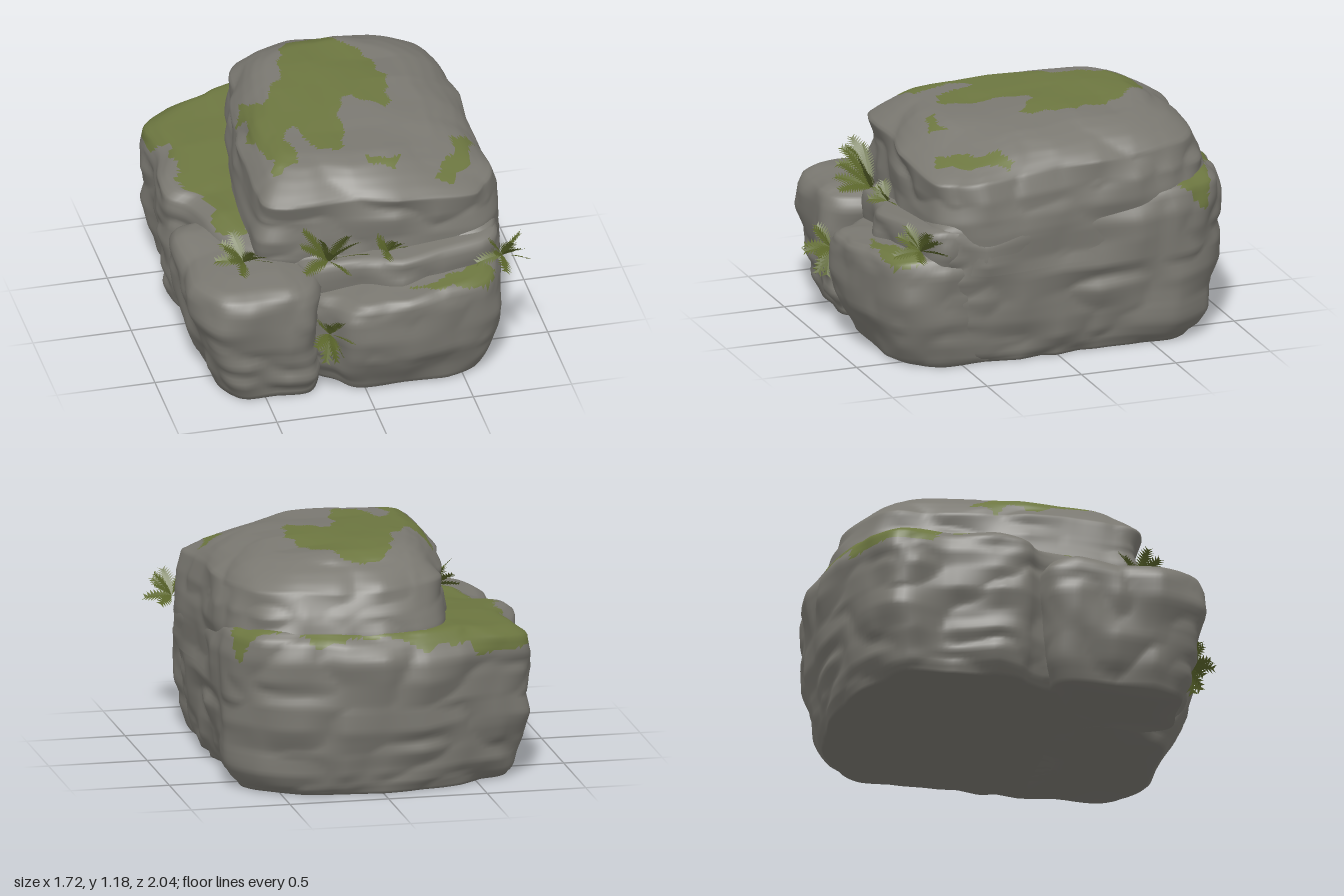
import * as THREE from 'three';

const rock = new THREE.MeshStandardMaterial({ color: 0x7a7871 });
rock.name = 'grey stone';
const moss = new THREE.MeshStandardMaterial({ color: 0x6c7640 });
moss.name = 'moss green';
const leaf = new THREE.MeshStandardMaterial({ color: 0x5c672c, side: THREE.DoubleSide });
leaf.name = 'fern green';

// Seeded lattice noise in -1..1; linear blending leaves chiselled planes
function hash(x, y, z) {
  const s = Math.sin(x * 127.1 + y * 311.7 + z * 74.7) * 43758.5453;
  return (s - Math.floor(s)) * 2 - 1;
}
function noise(x, y, z) {
  const i = Math.floor(x), j = Math.floor(y), k = Math.floor(z);
  const mix = THREE.MathUtils.lerp;
  const row = (b, c) => mix(hash(i, b, c), hash(i + 1, b, c), x - i);
  const slab = (c) => mix(row(j, c), row(j + 1, c), y - j);
  return mix(slab(k), slab(k + 1), z - k);
}

function inside(poly, x, z) {
  let hit = false;
  for (let i = 0, j = poly.length - 1; i < poly.length; j = i++) {
    const [ax, az] = poly[i], [bx, bz] = poly[j];
    if ((az > z) !== (bz > z) && x < ((bx - ax) * (z - az)) / (bz - az) + ax) hit = !hit;
  }
  return hit;
}

// Resample [y, scale, dx, dz] levels evenly along the profile, with few rows on the flat underside
function resample(levels, rows) {
  const at = [0];
  for (let i = 1; i < levels.length; i++) {
    const a = levels[i - 1], b = levels[i];
    at.push(at[i - 1] + (b[0] === 0 ? 0.05 : Math.hypot(b[0] - a[0], (b[1] - a[1]) * 0.6)));
  }
  const out = [];
  for (let r = 0; r <= rows; r++) {
    const d = (at[at.length - 1] * r) / rows;
    let i = 1;
    while (i < at.length - 1 && at[i] < d) i++;
    const t = (d - at[i - 1]) / (at[i] - at[i - 1]);
    out.push([0, 1, 2, 3].map((k) => THREE.MathUtils.lerp(levels[i - 1][k] || 0, levels[i][k] || 0, t)));
  }
  return out;
}

// A stone: plan outline [x, z] lofted through levels, roughened, dented [x, z, radius, depth], mossy inside given patches
function stone({ name, outline, levels, rows, seg, tiltX = 0, tiltZ = 0, rough = 0.03, dents = [], patches = [], mossFrom = 0 }) {
  const curve = new THREE.CatmullRomCurve3(outline.map(([x, z]) => new THREE.Vector3(x, 0, z)), true);
  const ring = curve.getSpacedPoints(seg).slice(0, seg);
  if (THREE.ShapeUtils.area(ring.map((p) => new THREE.Vector2(p.x, p.z))) < 0) ring.reverse();
  const c = ring.reduce((s, p) => s.add(p), new THREE.Vector3()).divideScalar(seg);
  const top = levels[levels.length - 1][0];
  const pos = [];
  for (const [y, s, dx, dz] of resample(levels, rows)) {
    for (const p of ring) {
      let x = c.x + (p.x - c.x) * s + dx, z = c.z + (p.z - c.z) * s + dz;
      const out = new THREE.Vector3(p.x - c.x, 0, p.z - c.z).normalize();
      const n = 0.6 * noise(x * 3.5, y * 7, z * 3.5) + 1.5 * Math.abs(noise(x * 5 + 5, y * 9, z * 5)) - 0.5;
      const push = rough * n * Math.min(1, s * 1.5);
      let lift = y > 0.02 ? 0.6 * rough * noise(x * 5, y * 3 + 9, z * 5) : 0;
      const h = (y / top) ** 2;
      for (const [ax, az, radius, depth] of dents) lift -= h * depth * Math.exp(-((x - ax) ** 2 + (z - az) ** 2) / radius ** 2);
      x += out.x * push;
      z += out.z * push;
      pos.push(x, y + lift + h * (tiltX * x + tiltZ * z), z);
    }
  }
  const bare = [], green = [];
  const add = (...tri) => {
    const [x, y, z] = [0, 1, 2].map((k) => tri.reduce((s, v) => s + pos[v * 3 + k], 0) / 3);
    const wx = x + 0.035 * noise(x * 14, 3, z * 14), wz = z + 0.035 * noise(x * 14, 8, z * 14);
    (y > mossFrom && patches.some((p) => inside(p, wx, wz)) ? green : bare).push(...tri);
  };
  for (let r = 0; r < rows; r++) {
    for (let i = 0; i < seg; i++) {
      const a = r * seg + i, b = r * seg + ((i + 1) % seg);
      add(a, a + seg, b);
      add(b, a + seg, b + seg);
    }
  }
  const g = new THREE.BufferGeometry();
  g.setAttribute('position', new THREE.Float32BufferAttribute(pos, 3));
  g.setIndex([...bare, ...green]);
  g.addGroup(0, bare.length, 0);
  g.addGroup(bare.length, green.length, 1);
  g.computeVertexNormals();
  const mesh = new THREE.Mesh(g, [rock, moss]);
  mesh.name = name;
  return mesh;
}

// A fern: drooping fronds fanned between two headings (0 = +x, 0.5 = +z, 1 = -x, in half turns),
// each a double row of pointed leaflets
function fern({ at, count, size, from, to, rise = 1, sink = 0 }) {
  const pos = [];
  for (let f = 0; f < count; f++) {
    const heading = Math.PI * THREE.MathUtils.lerp(from, to, f / (count - 1));
    const steep = (f % 3) / 2;
    const dir = new THREE.Vector3(Math.cos(heading), rise * (0.35 + 1.6 * steep) - sink, Math.sin(heading)).normalize();
    const len = size * (0.75 + 0.25 * steep);
    const side = new THREE.Vector3(-Math.sin(heading), 0, Math.cos(heading));
    const up = new THREE.Vector3().crossVectors(side, dir);
    const leaflets = Math.round(len / 0.016);
    const point = (t) => new THREE.Vector3(...at).addScaledVector(dir, t * len).add(new THREE.Vector3(0, -0.2 * len * t * t, 0));
    for (let i = 0; i < leaflets; i++) {
      const t = i / leaflets, w = 0.036 * Math.sin(Math.PI * (0.15 + 0.75 * t));
      for (const s of [-1, 1]) {
        const a = point(t), b = point(t + 1.4 / leaflets);
        const tip = b.clone().addScaledVector(side, s * w).addScaledVector(up, s * 0.6 * w).addScaledVector(dir, 0.014);
        pos.push(...a, ...b, ...tip);
      }
    }
  }
  const g = new THREE.BufferGeometry();
  g.setAttribute('position', new THREE.Float32BufferAttribute(pos, 3));
  g.computeVertexNormals();
  const mesh = new THREE.Mesh(g, leaf);
  mesh.name = 'fern';
  return mesh;
}

export function createModel() {
  const model = new THREE.Group();
  model.name = 'mossyRock';

  // Moss patches in plan
  const shoulderMoss = [[-0.86, -0.55], [-0.8, -0.78], [-0.6, -0.86], [-0.2, -0.94], [0.3, -0.93], [0.72, -0.78], [0.7, -0.62], [0.62, -0.62],
    [0.5, -0.8], [0.3, -0.87], [0, -0.91], [-0.2, -0.85], [-0.3, -0.5], [-0.4, 0.1], [-0.52, 0.4], [-0.6, 0.3], [-0.72, -0.2], [-0.7, -0.48]];
  const topMoss = [[-0.03, -0.68], [0.08, -0.68], [0.28, -0.5], [0.34, -0.12], [0.28, 0.06], [0.08, -0.08], [0.02, 0.2], [-0.05, 0.38], [-0.15, 0.35],
    [-0.2, 0.1], [-0.27, 0.2], [-0.25, 0.42], [-0.36, 0.43], [-0.44, 0], [-0.38, -0.25], [-0.32, -0.12], [-0.15, -0.35], [-0.12, -0.55]];
  const cornerMoss = [[0.4, 0.58], [0.5, 0.42], [0.65, 0.2], [0.69, 0.25], [0.6, 0.43], [0.46, 0.57]];
  const spotMoss = [[0.08, 0.44], [0.27, 0.42], [0.2, 0.5], [0.1, 0.5]];
  const ledgeMoss = [[0.2, 0.84], [0.4, 0.79], [0.6, 0.71], [0.68, 0.74], [0.62, 0.83], [0.4, 0.88]];

  // Broad body at the back
  model.add(stone({
    name: 'baseRock', rows: 80, seg: 180, tiltX: 0.05, tiltZ: -0.06, patches: [shoulderMoss], mossFrom: 0.68,
    outline: [[-0.79, -0.72], [-0.62, -0.83], [-0.38, -0.93], [-0.1, -0.99], [0.35, -0.97], [0.6, -0.88], [0.75, -0.7], [0.755, -0.2],
      [0.755, 0.5], [0.69, 0.64], [0.2, 0.64], [-0.3, 0.62], [-0.6, 0.42], [-0.74, 0.02], [-0.82, -0.06], [-0.83, -0.22], [-0.78, -0.45]],
    levels: [[0, 0], [0, 0.86], [0.05, 0.91], [0.2, 0.95], [0.45, 0.985], [0.64, 1], [0.73, 0.97], [0.775, 0.89], [0.785, 0.6], [0.785, 0.001]],
  }));

  // Large boulder on top, its back leaning forward
  model.add(stone({
    name: 'upperBoulder', rows: 80, seg: 180, tiltZ: -0.04, tiltX: -0.02, patches: [topMoss, cornerMoss, spotMoss], mossFrom: 0.93, rough: 0.025,
    dents: [[0.56, 0.42, 0.24, 0.06]],
    outline: [[-0.5, 0.4], [-0.5, 0.1], [-0.47, -0.15], [-0.4, -0.5], [-0.31, -0.78], [-0.1, -0.9], [0.35, -0.89], [0.57, -0.82], [0.72, -0.62],
      [0.75, -0.2], [0.765, 0.2], [0.75, 0.48], [0.64, 0.6], [0.2, 0.65], [-0.1, 0.62], [-0.38, 0.59], [-0.48, 0.54]],
    levels: [[0.5, 1], [0.8, 1], [0.9, 0.975, 0, 0.015], [1, 0.945, -0.01, 0.04], [1.04, 0.89, -0.015, 0.035], [1.08, 0.82, -0.025, 0.03],
      [1.12, 0.72, -0.04, 0.03], [1.145, 0.62, -0.05, 0.02], [1.16, 0.3, -0.04, 0], [1.165, 0.001]],
  }));

  // Front blocks and the ledge between them and the boulder
  model.add(stone({
    name: 'frontRightBlock', rows: 48, seg: 120,
    outline: [[-0.76, 0.03], [-0.83, 0.1], [-0.84, 0.4], [-0.82, 0.7], [-0.74, 0.84], [-0.5, 0.86], [-0.3, 0.88], [-0.23, 0.78], [-0.2, 0.5], [-0.3, 0.1], [-0.5, 0.02]],
    levels: [[0, 0, 0.07, -0.02], [0, 0.8, 0.07, -0.02], [0.1, 0.87, 0.045, -0.01], [0.25, 0.94, 0.02], [0.45, 1], [0.56, 1], [0.61, 0.95], [0.64, 0.82], [0.66, 0.5], [0.67, 0.001]],
  }));
  model.add(stone({
    name: 'frontLeftBlock', rows: 48, seg: 120, tiltX: 0.09, rough: 0.026, patches: [ledgeMoss], mossFrom: 0.48,
    outline: [[-0.3, 0.55], [-0.27, 0.72], [-0.18, 0.8], [-0.1, 0.92], [0.15, 0.95], [0.4, 0.92], [0.6, 0.86], [0.69, 0.78], [0.74, 0.6], [0.66, 0.3], [0.2, 0.25], [-0.2, 0.3]],
    levels: [[0, 0, 0, -0.09], [0, 0.89, 0, -0.09], [0.1, 0.93, 0, -0.05], [0.22, 0.97], [0.36, 0.99], [0.46, 1], [0.51, 0.96], [0.54, 0.84], [0.555, 0.5], [0.565, 0.001]],
  }));
  model.add(stone({
    name: 'middleLedge', rows: 36, seg: 120, tiltX: 0.055, rough: 0.026,
    outline: [[-0.32, 0.5], [-0.28, 0.67], [0, 0.71], [0.15, 0.77], [0.45, 0.74], [0.7, 0.67], [0.74, 0.55], [0.7, 0.3], [0.2, 0.2], [-0.25, 0.3]],
    levels: [[0.3, 0.97], [0.55, 0.99], [0.62, 1.01], [0.67, 0.98], [0.69, 0.88], [0.7, 0.001]],
  }));

  // Ferns rooted in the cracks
  model.add(fern({ at: [-0.56, 0.67, 0.55], count: 9, size: 0.18, from: 0.1, to: 1.4, rise: 0.7 }));
  model.add(fern({ at: [-0.16, 0.69, 0.67], count: 9, size: 0.27, from: 0.05, to: 1 }));
  model.add(fern({ at: [0.14, 0.72, 0.7], count: 6, size: 0.12, from: 0, to: 1 }));
  model.add(fern({ at: [0.71, 0.64, 0.74], count: 10, size: 0.17, from: -0.3, to: 0.95, sink: 0.25 }));
  model.add(fern({ at: [-0.2, 0.39, 0.87], count: 9, size: 0.15, from: 0.2, to: 0.8, rise: 1.8, sink: 1.9 }));
  return model;
}
